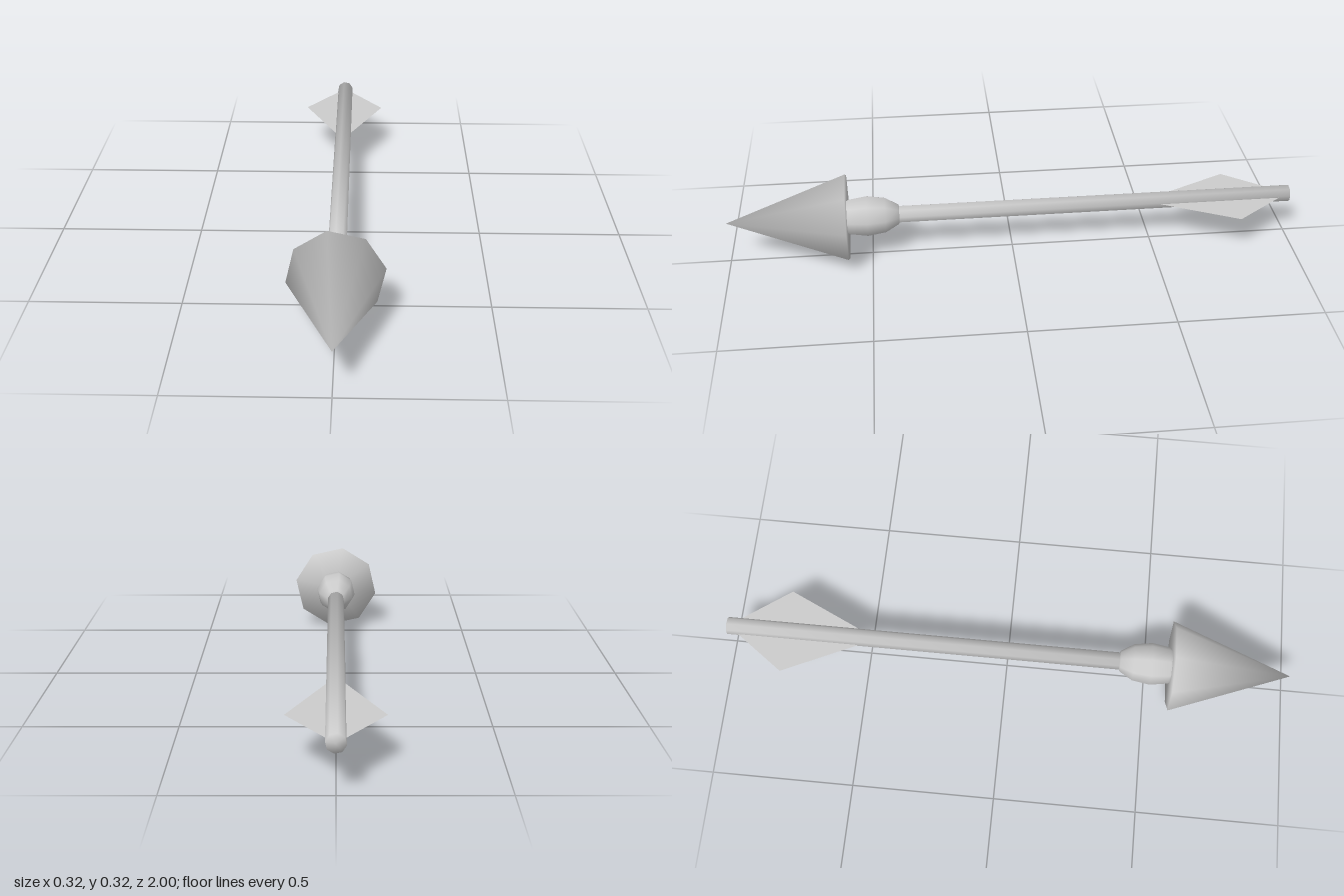
import * as THREE from 'three';

const SIDES = 8;
const AXIS_Y = 0.16; // height of the shaft's centre line
const TWIST = 0.17;  // roll of the octagonal parts about the long axis

// Lay a y-up turned geometry along z, so its top points forward
function layForward(geometry, z) {
  return geometry.rotateX(Math.PI / 2).rotateZ(TWIST).translate(0, 0, z);
}

// Blend the normals round the rims, so caps and sides shade as one soft surface
function softenRims(geometry, tilt) {
  const p = geometry.attributes.position, n = geometry.attributes.normal;
  for (let i = 0; i < p.count; i++) {
    const v = new THREE.Vector3().fromBufferAttribute(p, i);
    const end = Math.sign(v.y);
    const radius = Math.hypot(v.x, v.z);
    if (radius < 1e-5) n.setXYZ(i, 0, end, 0);
    else {
      const c = Math.cos(tilt) / radius;
      n.setXYZ(i, v.x * c, end * Math.sin(tilt), v.z * c);
    }
  }
  return geometry;
}

export function createModel() {
  const model = new THREE.Group();
  model.name = 'arrow';

  const grey = new THREE.MeshStandardMaterial({ color: 0xcccccc });
  grey.name = 'grey';
  const greyThin = grey.clone();
  greyThin.name = 'grey fin';
  greyThin.side = THREE.DoubleSide;

  const add = (name, geometry, material = grey) => {
    const mesh = new THREE.Mesh(geometry, material);
    mesh.name = name;
    mesh.position.y = AXIS_Y;
    model.add(mesh);
  };

  // Pointed head
  const head = softenRims(new THREE.ConeGeometry(0.16, 0.42, SIDES), 0.53);
  add('head', layForward(head, 0.79));

  // Rounded collar behind the head
  const collar = new THREE.SphereGeometry(1, SIDES, 6).scale(0.075, 0.125, 0.075);
  add('collar', layForward(collar, 0.51));

  // Long shaft
  const shaft = softenRims(new THREE.CylinderGeometry(0.031, 0.031, 1.42, SIDES), 0.68);
  add('shaft', layForward(shaft, -0.29));

  // Flat tail fins, mirrored across the shaft
  for (const [name, side] of [['leftFin', 1], ['rightFin', -1]]) {
    const outline = new THREE.Shape([
      new THREE.Vector2(0, 0.465),
      new THREE.Vector2(side * 0.152, 0.79),
      new THREE.Vector2(0, 1),
    ]);
    add(name, new THREE.ShapeGeometry(outline).rotateX(-Math.PI / 2), greyThin);
  }

  return model;
}
